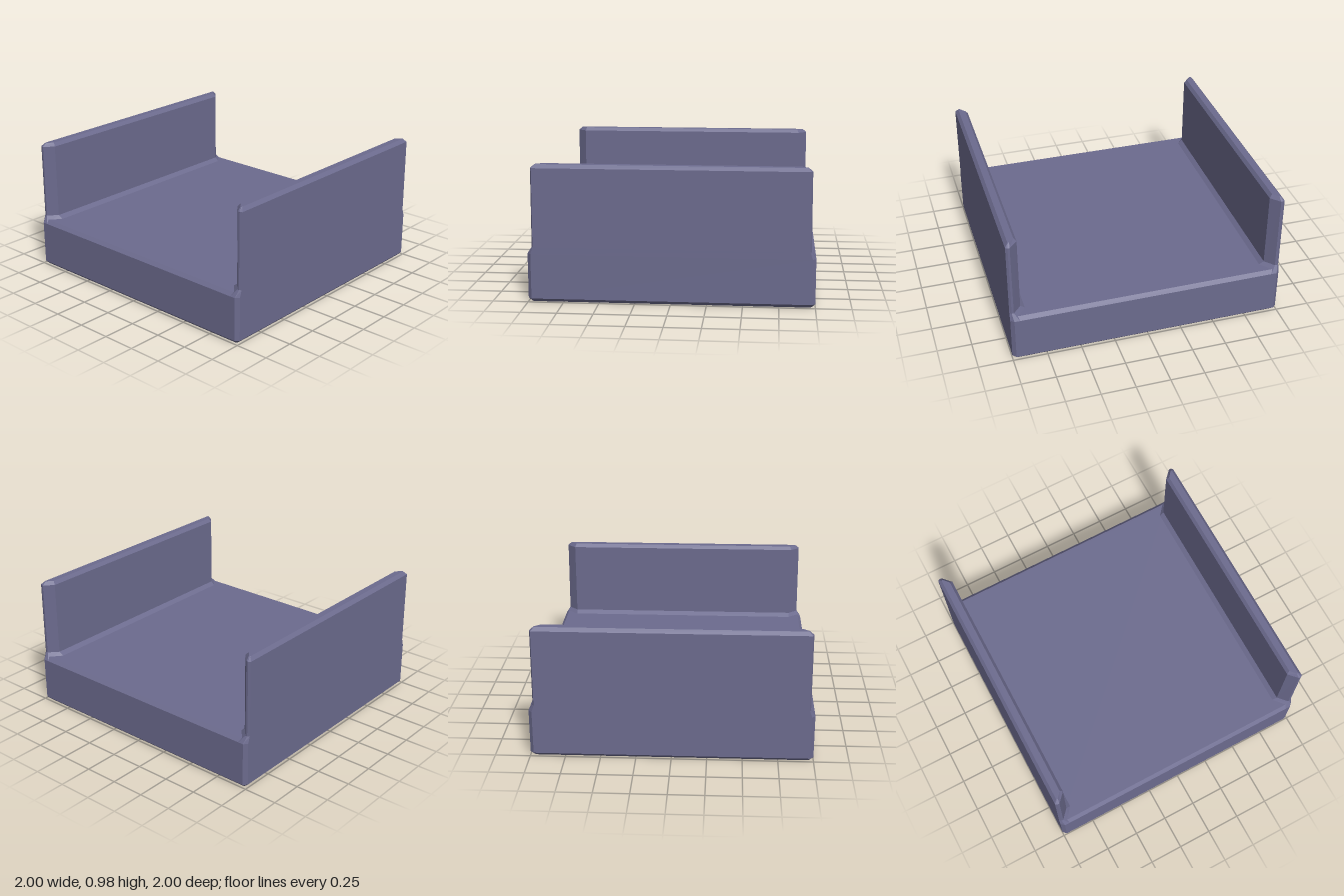
import * as THREE from 'three';

const material = new THREE.MeshStandardMaterial({ color: 0x6c6b8e, flatShading: true });

// Joins stacked convex rings of [x, z] points; each level is { y, ring }.
function loft(name, levels, bottomCap) {
  const pos = [];
  const put = (level, i) => {
    const [x, z] = level.ring[i % level.ring.length];
    pos.push(x, level.y, z);
  };
  const n = levels[0].ring.length;
  const top = levels[levels.length - 1];
  for (let k = 0; k + 1 < levels.length; k++) {
    const a = levels[k], b = levels[k + 1];
    for (let i = 0; i < n; i++) {
      put(a, i); put(a, i + 1); put(b, i + 1);
      put(a, i); put(b, i + 1); put(b, i);
    }
  }
  for (let i = 1; i + 1 < n; i++) {
    put(top, 0); put(top, i); put(top, i + 1);
    if (bottomCap) { put(levels[0], 0); put(levels[0], i + 1); put(levels[0], i); }
  }
  const geo = new THREE.BufferGeometry();
  geo.setAttribute('position', new THREE.Float32BufferAttribute(pos, 3));
  geo.computeVertexNormals();
  const mesh = new THREE.Mesh(geo, material);
  mesh.name = name;
  return mesh;
}

// Mirrors the +x half of an outline to close the ring.
const mirrorRing = (half) => [...half, ...half.slice().reverse().map(([x, z]) => [-x, z])];

// Square slab outline with cut corners.
const slabRing = (r, cut) => mirrorRing([[r - cut, r], [r, r - cut], [r, cut - r], [r - cut, -r]]);

// Wall outline: outer face, narrow end, wide inner corner cut, inner face.
const wallRing = (xOuter, zOuter, xEnd, zEnd, zEndIn, xInner, zInner) =>
  mirrorRing([[xOuter, zOuter], [xEnd, zEnd], [xEnd, zEndIn], [xInner, zInner]]);

export function createModel() {
  const model = new THREE.Group();
  model.name = 'tray';

  // Base slab with bevelled edges
  model.add(loft('base', [
    { y: 0, ring: slabRing(0.975, 0.012) },
    { y: 0.025, ring: slabRing(1, 0.025) },
    { y: 0.345, ring: slabRing(1, 0.025) },
    { y: 0.37, ring: slabRing(0.975, 0.012) },
  ], true));

  // Two upright walls with a flared foot and bevelled top
  for (const [name, turn] of [['frontWall', 0], ['backWall', Math.PI]]) {
    const wall = loft(name, [
      { y: 0.345, ring: wallRing(0.975, 1, 1, 0.975, 0.935, 0.89, 0.845) },
      { y: 0.395, ring: wallRing(0.958, 1, 0.967, 0.985, 0.97, 0.9, 0.91) },
      { y: 0.95, ring: wallRing(0.955, 1, 0.964, 0.985, 0.97, 0.9, 0.91) },
      { y: 0.975, ring: wallRing(0.93, 0.978, 0.935, 0.975, 0.967, 0.89, 0.93) },
    ], false);
    wall.rotation.y = turn;
    model.add(wall);
  }
  return model;
}
